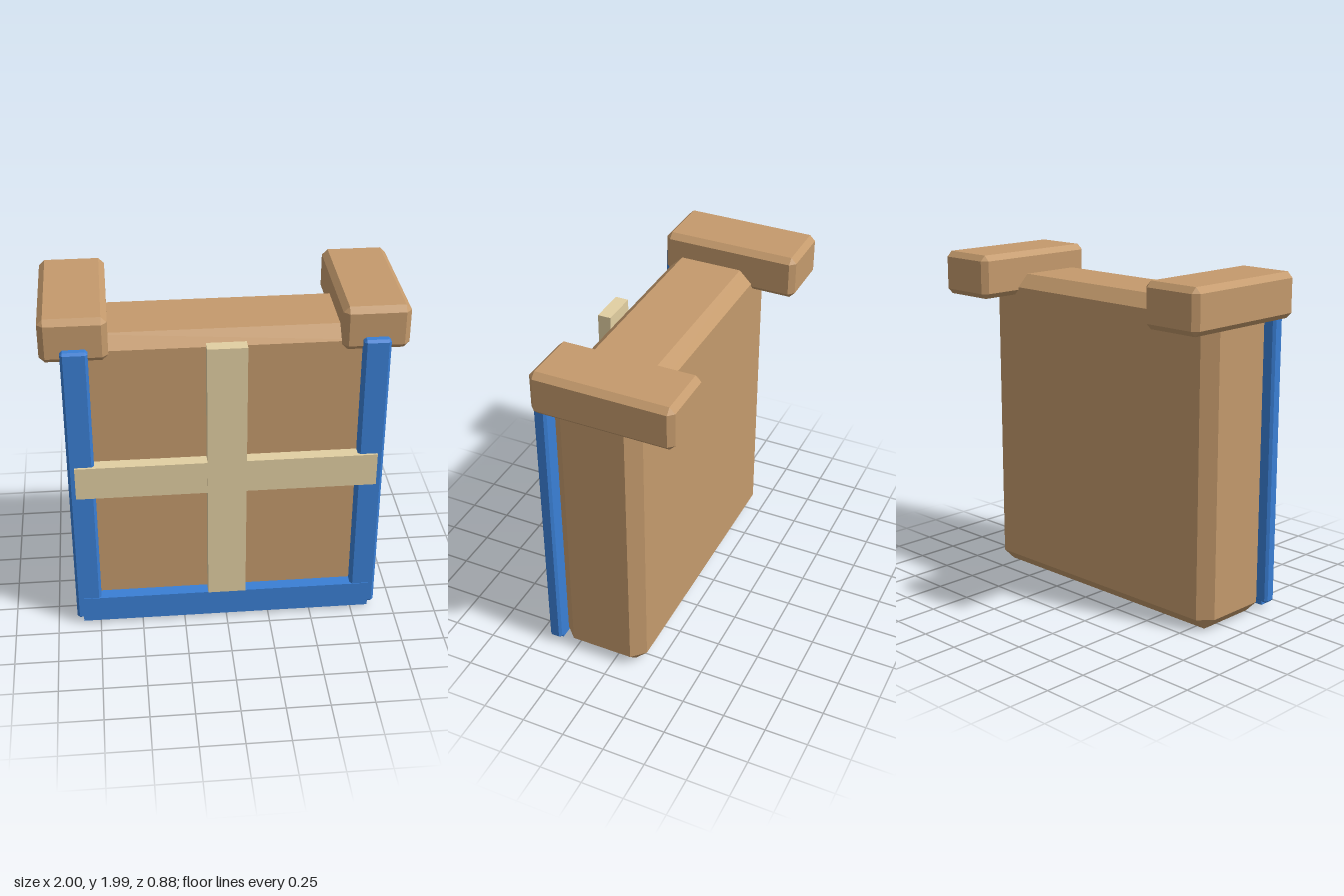
import * as THREE from 'three';
import { ConvexGeometry } from 'three/addons/geometries/ConvexGeometry.js';

const material = (color) => new THREE.MeshStandardMaterial({ color, flatShading: true });

// Box given by its [min, max] extents, with all edges cut by a flat chamfer c.
function block(name, mat, x, y, z, c = 0) {
  const ranges = [x, y, z];
  const half = ranges.map(([a, b]) => (b - a) / 2);
  const centre = ranges.map(([a, b]) => (a + b) / 2);
  let geometry;
  if (c > 0) {
    const points = [];
    for (const sx of [-1, 1]) for (const sy of [-1, 1]) for (const sz of [-1, 1]) {
      // each corner becomes three points, one on each of its faces
      for (let face = 0; face < 3; face++) {
        const [px, py, pz] = half.map((h, i) => (i === face ? h : h - c));
        points.push(new THREE.Vector3(sx * px, sy * py, sz * pz));
      }
    }
    geometry = new ConvexGeometry(points);
  } else {
    geometry = new THREE.BoxGeometry(...half.map((h) => h * 2));
  }
  const mesh = new THREE.Mesh(geometry, mat);
  mesh.position.set(...centre);
  mesh.name = name;
  return mesh;
}

export function createModel() {
  const group = new THREE.Group();
  group.name = 'torso';
  const tan = material(0xc49a6c);
  const blue = material(0x3a7fd5);
  const cream = material(0xe2cfa2);

  // Main body
  group.add(block('body', tan, [-0.88, 0.88], [0, 1.85], [-0.18, 0.335], 0.073));

  // Shoulder blocks and blue side strips
  for (const [side, s] of [['left', 1], ['right', -1]]) {
    const span = (a, b) => (s > 0 ? [a, b] : [-b, -a]);
    group.add(block(side + 'Shoulder', tan, span(0.63, 1), [1.73, 1.985], [-0.44, 0.373], 0.032));
    group.add(block(side + 'Strip', blue, span(0.74, 0.888), [0.037, 1.814], [0.345, 0.42], 0.014));
  }

  // Blue strip along the bottom
  group.add(block('bottomStrip', blue, [-0.85, 0.85], [0.02, 0.183], [0.35, 0.424]));

  // Cream cross on the front
  group.add(block('crossUpright', cream, [-0.11, 0.11], [0.19, 1.815], [0.36, 0.437]));
  group.add(block('crossBar', cream, [-0.85, 0.85], [0.9, 1.1], [0.36, 0.434]));

  return group;
}
